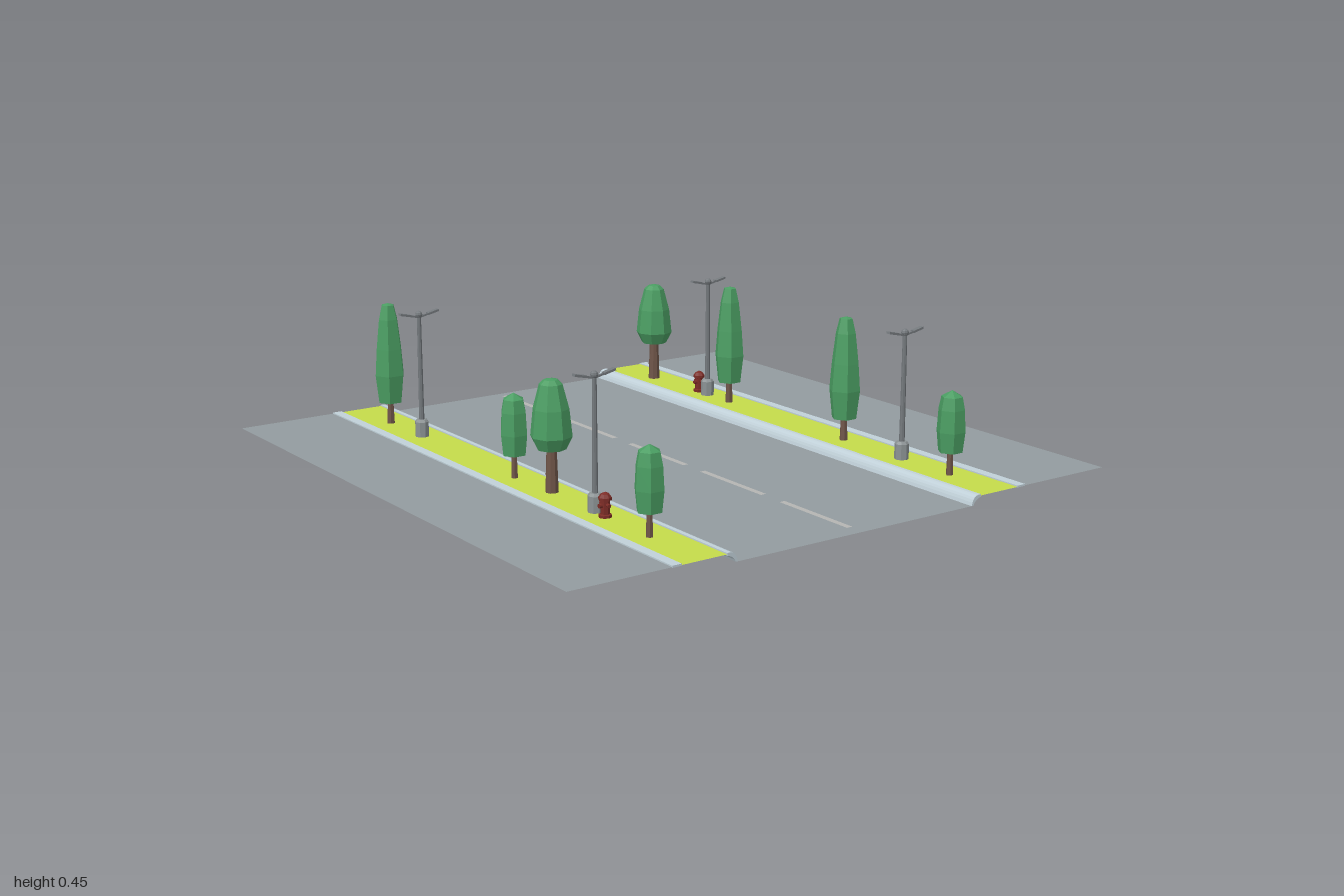
import * as THREE from 'three';

const mat = (color) => new THREE.MeshStandardMaterial({ color, flatShading: true, side: THREE.DoubleSide });
const M = {
  asphalt: mat(0x929b9f), grass: mat(0xc5db4a), curb: mat(0xc0d0d8), line: mat(0xb4b4b2),
  leaf: mat(0x4a9d62), bark: mat(0x6f5549), metal: mat(0x74797d), base: mat(0x8b9294), red: mat(0x7c2c26),
};
const GROUND = 0.027;

function add(parent, name, geo, material, x = 0, y = 0, z = 0) {
  const m = new THREE.Mesh(geo, material);
  m.name = name;
  m.position.set(x, y, z);
  parent.add(m);
  return m;
}
const sheet = (w, d) => new THREE.PlaneGeometry(w, d).rotateX(-Math.PI / 2);
const lathe = (pts, sides) => new THREE.LatheGeometry(pts.map(([r, y]) => new THREE.Vector2(r, y)), sides);

function group(parent, name, x, z) {
  const g = new THREE.Group();
  g.name = name;
  g.position.set(x, GROUND, z);
  parent.add(g);
  return g;
}

// Foliage profiles [radius, height above the grass] for each kind of tree
const TREES = {
  tall: { sides: 6, trunk: 0.012, profile: [[0, 0.07], [0.042, 0.075], [0.053, 0.17], [0.046, 0.26], [0.034, 0.36], [0.022, 0.408], [0, 0.414]] },
  small: { sides: 6, trunk: 0.01, profile: [[0, 0.07], [0.039, 0.075], [0.046, 0.14], [0.042, 0.21], [0.034, 0.25], [0, 0.27]] },
  broad: { sides: 8, trunk: 0.018, profile: [[0, 0.13], [0.045, 0.135], [0.065, 0.175], [0.056, 0.26], [0.036, 0.335], [0.022, 0.348], [0, 0.352]] },
};

function tree(parent, kind, x, z) {
  const { sides, trunk, profile } = TREES[kind];
  const g = group(parent, kind + 'Tree', x, z);
  const h = profile[0][1] + 0.02;
  add(g, 'trunk', new THREE.CylinderGeometry(trunk * 0.85, trunk * 1.15, h + 0.006, sides), M.bark, 0, h / 2 - 0.003);
  add(g, 'foliage', lathe(profile, sides), M.leaf);
  if (kind === 'broad') {
    const stub = add(g, 'branchStub', new THREE.CylinderGeometry(0.004, 0.005, 0.025, 6), M.bark, -0.02, 0.045);
    stub.rotation.z = 1.2;
  }
}

function streetLamp(parent, x, z) {
  const g = group(parent, 'streetLamp', x, z);
  add(g, 'lampBase', lathe([[0, -0.006], [0.023, -0.006], [0.023, 0.05], [0.017, 0.058], [0, 0.058]], 8), M.base);
  add(g, 'pole', new THREE.CylinderGeometry(0.007, 0.009, 0.37, 8), M.metal, 0, 0.23);
  add(g, 'finial', new THREE.SphereGeometry(0.012, 8, 6), M.metal, 0, 0.411);
  // Twin arms with flat lamp heads, rising outwards
  for (const s of [-1, 1]) {
    const arm = add(g, 'arm', new THREE.BoxGeometry(0.006, 0.006, 0.04), M.metal, 0, 0.406, s * 0.02);
    const head = add(g, 'lampHead', new THREE.BoxGeometry(0.016, 0.007, 0.04), M.metal, 0, 0.414, s * 0.051);
    arm.rotation.x = head.rotation.x = -s * 0.22;
  }
}

function hydrant(parent, x, z) {
  const g = group(parent, 'hydrant', x, z);
  add(g, 'hydrantBody', lathe([[0, -0.006], [0.02, -0.006], [0.02, 0.008], [0.014, 0.01], [0.014, 0.05],
    [0.02, 0.052], [0.02, 0.06], [0.013, 0.07], [0, 0.076]], 8), M.red);
  add(g, 'sideOutlets', new THREE.CylinderGeometry(0.006, 0.006, 0.046, 8).rotateZ(Math.PI / 2), M.red, 0, 0.038);
  add(g, 'frontOutlet', new THREE.CylinderGeometry(0.007, 0.007, 0.022, 8).rotateX(Math.PI / 2), M.red, 0, 0.036, 0.011);
}

// Rounded curb cross-section (z, y), swept along the road
function curbGeometry() {
  const s = new THREE.Shape();
  s.moveTo(0.477, 0.031);
  s.lineTo(0.464, 0.031);
  s.quadraticCurveTo(0.446, 0.028, 0.44, 0);
  s.lineTo(0.447, 0);
  s.quadraticCurveTo(0.455, 0.019, 0.477, 0.023);
  s.closePath();
  return new THREE.ExtrudeGeometry(s, { depth: 2, bevelEnabled: false, curveSegments: 5 })
    .translate(0, 0, -1).rotateY(-Math.PI / 2);
}

export function createModel() {
  const model = new THREE.Group();
  model.name = 'street';

  // Roadway and dashed centre line
  add(model, 'road', sheet(2, 0.89), M.asphalt);
  for (let i = 0; i < 5; i++) add(model, 'laneDash', sheet(0.31, 0.02), M.line, -0.805 + i * 0.4, 0.002, -0.005);

  // Curb, grass verge, edging and pavement on both sides
  for (const s of [-1, 1]) {
    const side = new THREE.Group();
    side.name = s > 0 ? 'frontVerge' : 'backVerge';
    side.rotation.y = s > 0 ? 0 : Math.PI;
    add(side, 'curb', curbGeometry(), M.curb);
    add(side, 'grass', sheet(2, 0.155), M.grass, 0, GROUND, 0.5525);
    add(side, 'edging', new THREE.BoxGeometry(2, 0.006, 0.032), M.curb, 0, 0.028, 0.646);
    add(side, 'pavement', sheet(2, 0.34), M.asphalt, 0, GROUND, 0.83);
    model.add(side);
  }

  // Planting
  tree(model, 'broad', -0.79, -0.548);
  tree(model, 'tall', -0.34, -0.553);
  tree(model, 'tall', 0.28, -0.553);
  tree(model, 'small', 0.783, -0.553);
  tree(model, 'tall', -0.775, 0.556);
  tree(model, 'small', 0.03, 0.56);
  tree(model, 'broad', 0.225, 0.548);
  tree(model, 'small', 0.75, 0.56);

  // Street furniture
  for (const [x, z] of [[-0.47, -0.555], [0.56, -0.555], [-0.565, 0.553], [0.466, 0.553]]) streetLamp(model, x, z);
  hydrant(model, -0.527, -0.56);
  hydrant(model, 0.525, 0.558);

  return model;
}
